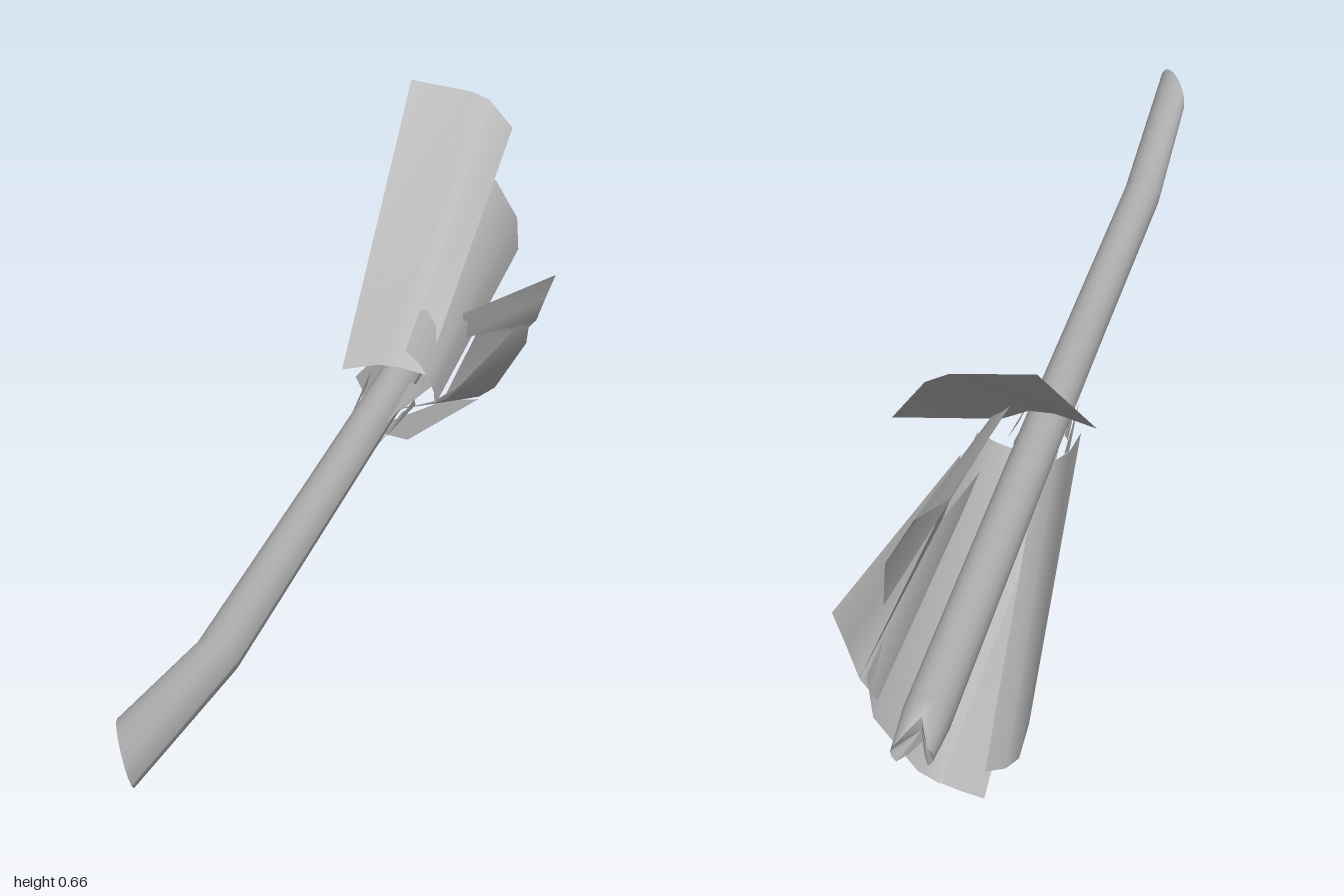
import * as THREE from 'three';

const steel = new THREE.MeshStandardMaterial({ color: 0xb0b0b0, side: THREE.DoubleSide });
steel.name = 'grey metal';

// Skin a grid between consecutive rows of points
function loft(name, rows) {
  const n = rows[0].length, index = [];
  for (let i = 0; i < rows.length - 1; i++) {
    for (let j = 0; j < n - 1; j++) {
      const a = i * n + j, b = a + n;
      index.push(a, a + 1, b + 1, a, b + 1, b);
    }
  }
  const geo = new THREE.BufferGeometry();
  geo.setAttribute('position', new THREE.Float32BufferAttribute(rows.flat(2), 3));
  geo.setIndex(index);
  geo.computeVertexNormals();
  const mesh = new THREE.Mesh(geo, steel);
  mesh.name = name;
  return mesh;
}

// One ring of the shaft; zAt skews its end along the shaft
const SIDES = 16;
function ring(x, y, rx, ry, zAt) {
  return Array.from({ length: SIDES + 1 }, (_, i) => {
    const a = (i / SIDES) * Math.PI * 2, c = Math.cos(a), s = Math.sin(a);
    return [x + rx * c, y + ry * s, zAt(c, s)];
  });
}

const centreRow = (p) => Array.from({ length: SIDES + 1 }, () => p);

export function createModel() {
  const model = new THREE.Group();
  model.name = 'splitShaft';

  // Shaft: notched at the back, bent upward and cut obliquely at the front
  const backEnd = ring(-0.038, 0.275, 0.028, 0.02, (c) => -0.95 - 0.05 * Math.min(1, 1.5 * Math.abs(c)));
  const frontEnd = ring(-0.045, 0.337, 0.033, 0.032, (c, s) => 0.925 + 0.062 * c + 0.02 * s);
  model.add(loft('shaft', [
    backEnd,
    ring(-0.038, 0.276, 0.032, 0.033, () => -0.93),
    ring(-0.038, 0.276, 0.032, 0.033, () => -0.25),
    ring(-0.04, 0.275, 0.032, 0.033, () => 0.1),
    ring(-0.044, 0.274, 0.033, 0.033, () => 0.6),
    frontEnd,
  ]));
  model.add(loft('shaftNotch', [centreRow([-0.038, 0.275, -0.95]), backEnd]));
  model.add(loft('shaftTip', [frontEnd, centreRow([-0.045, 0.337, 0.925])]));

  // Peeled-back petals: inner edge near the shaft, then the flared outer edge
  const petals = {
    topPetal: [
      [[-0.124, 0.3, -0.25], [-0.06, 0.318, -0.25], [-0.02, 0.318, -0.25], [0.02, 0.305, -0.26]],
      [[-0.133, 0.66, -0.71], [-0.02, 0.648, -0.712], [0.01, 0.635, -0.716], [0.052, 0.583, -0.725]],
    ],
    upperLeftPetal: [
      [[-0.01, 0.355, -0.24], [0.015, 0.335, -0.24], [0.03, 0.31, -0.24], [0.04, 0.285, -0.24], [0.042, 0.26, -0.24]],
      [[-0.03, 0.495, -0.765], [0.015, 0.46, -0.768], [0.035, 0.425, -0.77], [0.055, 0.39, -0.773], [0.058, 0.325, -0.778]],
    ],
    leftPetal: [
      [[0.04, 0.345, -0.43], [0.046, 0.3, -0.43], [0.05, 0.28, -0.5], [0.04, 0.24, -0.3]],
      [[0.135, 0.29, -0.76], [0.117, 0.24, -0.762], [0.1, 0.19, -0.765], [0.075, 0.16, -0.768]],
    ],
    lowerLeftPetal: [
      [[0.06, 0.27, -0.25], [0.03, 0.256, -0.25], [-0.02, 0.24, -0.25], [-0.07, 0.228, -0.25]],
      [[0.088, 0.2, -0.77], [0.08, 0.135, -0.775], [0.025, 0.04, -0.76], [-0.005, 0.018, -0.755]],
    ],
    bottomPetal: [
      [[-0.005, 0.188, -0.24], [-0.045, 0.193, -0.24], [-0.08, 0.195, -0.24]],
      [[-0.005, 0.015, -0.75], [-0.036, 0.008, -0.753], [-0.067, 0.003, -0.755]],
    ],
    lowerRightPetal: [
      [[-0.035, 0.222, -0.25], [-0.06, 0.235, -0.25], [-0.083, 0.255, -0.25], [-0.1, 0.29, -0.25]],
      [[-0.07, 0.055, -0.76], [-0.1, 0.07, -0.765], [-0.12, 0.095, -0.77], [-0.135, 0.16, -0.775]],
    ],
  };
  for (const [name, edges] of Object.entries(petals)) model.add(loft(name, edges));

  // Small splinters where the petals tear away from the shaft
  for (const deg of [-165, -110, -60, -25, 20, 160]) {
    const a = THREE.MathUtils.degToRad(deg);
    const at = (r, da, z) => [-0.038 + r * Math.cos(a + da), 0.27 + r * Math.sin(a + da), z];
    model.add(loft('splinter', [
      [at(0.034, 0, -0.12), at(0.034, 0.05, -0.12)],
      [at(0.048, -0.2, -0.27), at(0.042, 0.25, -0.25)],
    ]));
  }
  return model;
}
